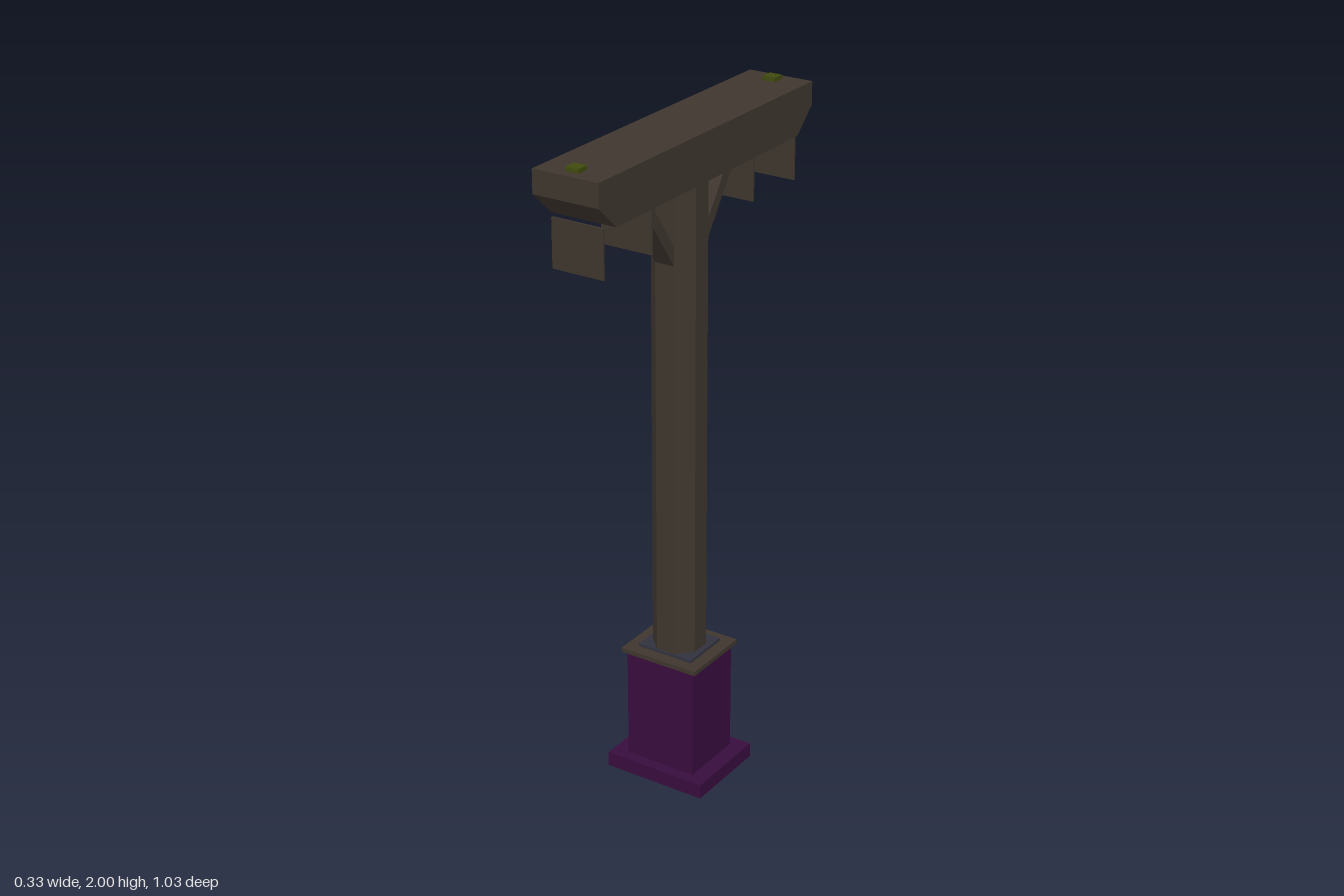
import * as THREE from 'three';

const material = (name, color) => {
  const m = new THREE.MeshStandardMaterial({ color, flatShading: true });
  m.name = name;
  return m;
};

export function createModel() {
  const group = new THREE.Group();
  const wood = material('dark wood', 0x3e362e);
  const purple = material('purple stone', 0x380d3e);
  const olive = material('olive peg', 0x3f4a0e);
  const slate = material('slate collar', 0x32323f);

  const add = (name, geometry, mat) => {
    const mesh = new THREE.Mesh(geometry, mat);
    mesh.name = name;
    group.add(mesh);
    return mesh;
  };
  // Box given by half widths and bottom / top heights
  const box = (name, hx, hz, y0, y1, mat, z = 0) => {
    const mesh = add(name, new THREE.BoxGeometry(hx * 2, y1 - y0, hz * 2), mat);
    mesh.position.set(0, (y0 + y1) / 2, z);
    return mesh;
  };
  // Side profile in (z, y), extruded symmetrically across x
  const profile = (name, points, hx, mat) => {
    const shape = new THREE.Shape(points.map(([z, y]) => new THREE.Vector2(-z, y)));
    const g = new THREE.ExtrudeGeometry(shape, { depth: hx * 2, bevelEnabled: false });
    g.translate(0, 0, -hx);
    g.rotateY(Math.PI / 2);
    return add(name, g, mat);
  };

  // Pedestal
  box('plinth', 0.163, 0.137, 0, 0.045, purple);
  box('pedestal', 0.114, 0.102, 0.045, 0.39, purple);
  box('pedestalCap', 0.127, 0.113, 0.39, 0.404, wood);
  box('collar', 0.09, 0.078, 0.404, 0.413, slate);

  // Octagonal post with flat sides facing the axes
  const post = new THREE.CylinderGeometry(0.079, 0.079, 1.44, 8);
  post.rotateY(Math.PI / 8);
  add('post', post, wood).position.y = 1.13;

  // Crossbeam with chamfered lower ends
  profile('beam', [
    [-0.515, 1.988], [-0.515, 1.92], [-0.44, 1.85],
    [0.44, 1.85], [0.515, 1.92], [0.515, 1.988],
  ], 0.102, wood);

  // Braces, hanging plates and top pegs at both ends
  for (const s of [1, -1]) {
    profile('brace', [
      [0.068 * s, 1.605], [0.243 * s, 1.852], [0.203 * s, 1.852], [0.068 * s, 1.66],
    ], 0.031, wood);
    box('innerPlate', 0.08, 0.003, 1.71, 1.85, wood, 0.248 * s);
    box('outerPlate', 0.08, 0.003, 1.71, 1.85, wood, 0.465 * s);
    box('peg', 0.02, 0.02, 1.988, 2, olive, 0.467 * s);
  }
  return group;
}
